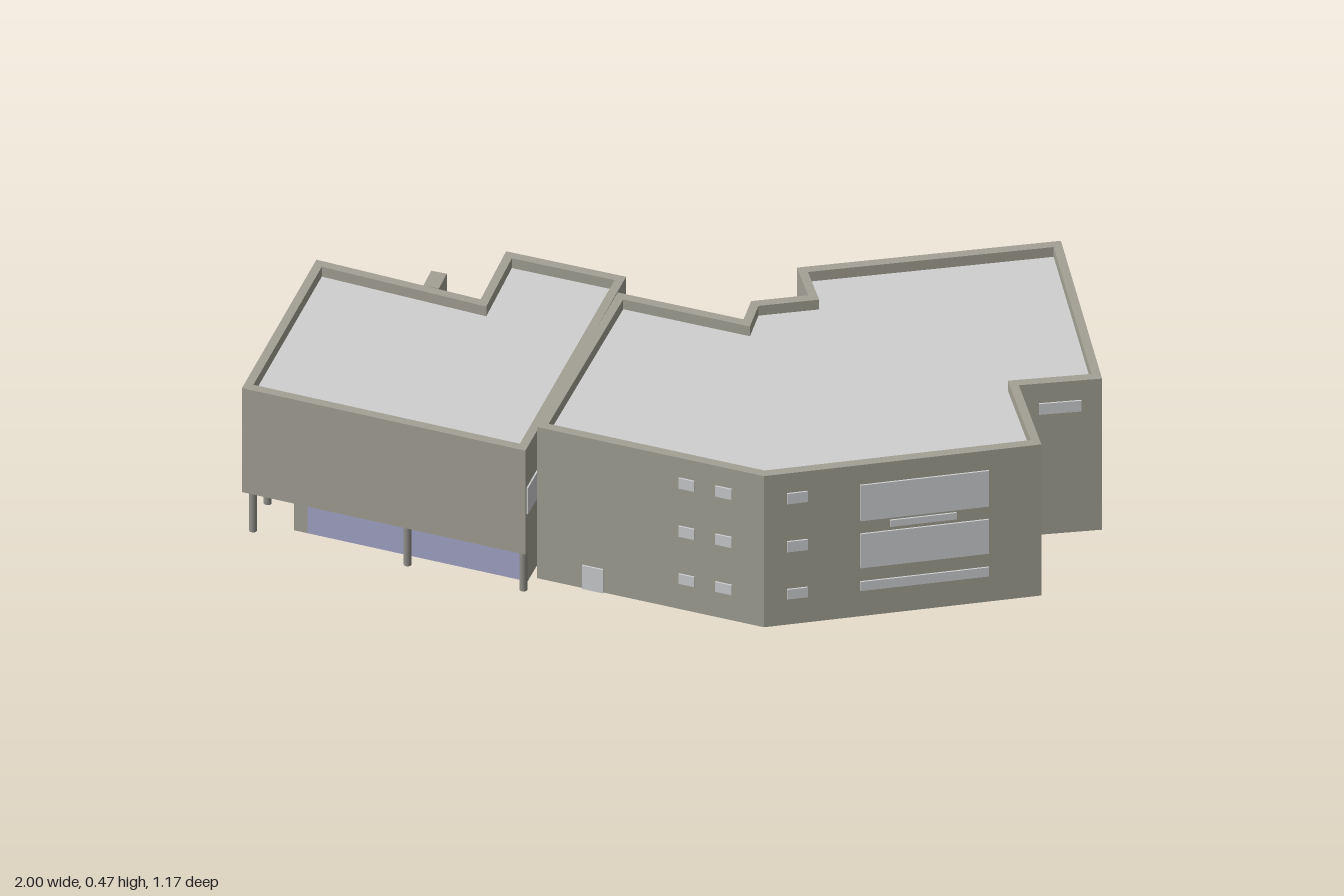
import * as THREE from 'three';

const mat = (name, color, double) => {
  const m = new THREE.MeshStandardMaterial({ color });
  m.name = name;
  if (double) m.side = THREE.DoubleSide;
  return m;
};

export function createModel() {
  const root = new THREE.Group();
  root.name = 'building';
  const wallMat = mat('wall concrete', 0xa3a194, true);
  const roofMat = mat('roof grey', 0xcfcfcf, true);
  const glassMat = mat('window glass', 0xcecfd1);
  const blueMat = mat('blue glazing', 0xa2a5c8, true);
  const columnMat = mat('column grey', 0x8f8e88);

  const add = (name, geo, material, parent = root) => {
    const m = new THREE.Mesh(geo, material);
    m.name = name;
    parent.add(m);
    return m;
  };
  const box = (name, x0, x1, y0, y1, z0, z1, material, parent) =>
    add(name, new THREE.BoxGeometry(x1 - x0, y1 - y0, z1 - z0), material, parent)
      .position.set((x0 + x1) / 2, (y0 + y1) / 2, (z0 + z1) / 2);

  // plan outlines are lists of [x, z]
  const vecs = (pts) => pts.map(([x, z]) => new THREE.Vector2(x, -z));
  const planShape = (outer, hole) => {
    const s = new THREE.Shape(vecs(outer));
    if (hole) s.holes.push(new THREE.Path(vecs(hole)));
    return s;
  };

  // mitred inward offset of an outline running front-left to front-right
  const inset = (pts, d) => pts.map((p, i) => {
    const a = pts[(i + pts.length - 1) % pts.length], b = pts[(i + 1) % pts.length];
    const normal = (u, v) => {
      const l = Math.hypot(v[0] - u[0], v[1] - u[1]);
      return [(v[1] - u[1]) / l, -(v[0] - u[0]) / l];
    };
    const n = normal(a, p), m = normal(p, b);
    const k = d / (1 + n[0] * m[0] + n[1] * m[1]);
    return [p[0] + k * (n[0] + m[0]), p[1] + k * (n[1] + m[1])];
  });

  // thin upright wall between two plan points
  const wall = (name, a, b, y0, y1, material, parent) => {
    const g = new THREE.PlaneGeometry(Math.hypot(b[0] - a[0], b[1] - a[1]), y1 - y0);
    const m = add(name, g, material, parent);
    m.position.set((a[0] + b[0]) / 2, (y0 + y1) / 2, (a[1] + b[1]) / 2);
    m.rotation.y = -Math.atan2(b[1] - a[1], b[0] - a[0]);
    return m;
  };

  // plate or ledge on a wall, t0..t1 along it, pushed outward by "out"
  const panel = (name, a, b, t0, t1, y0, y1, material = glassMat, depth = 0.008, out = 0) => {
    const l = Math.hypot(b[0] - a[0], b[1] - a[1]), t = (t0 + t1) / 2;
    const dx = (b[0] - a[0]) / l, dz = (b[1] - a[1]) / l;
    const m = add(name, new THREE.BoxGeometry(l * (t1 - t0), y1 - y0, depth), material);
    m.position.set(a[0] + dx * l * t - dz * out, (y0 + y1) / 2, a[1] + dz * l * t + dx * out);
    m.rotation.y = -Math.atan2(dz, dx);
  };

  // hollow shell, parapet ring and sunken roof
  const block = (name, pts, bottoms, top) => {
    const g = new THREE.Group();
    g.name = name;
    root.add(g);
    const roofY = top - 0.03, inner = inset(pts, 0.022);
    pts.forEach((p, i) =>
      wall(name + 'Wall', p, pts[(i + 1) % pts.length], bottoms[i] ?? 0, roofY, wallMat, g));
    const ring = new THREE.ExtrudeGeometry(planShape(pts, inner), { depth: 0.03, bevelEnabled: false });
    add(name + 'Parapet', ring.rotateX(-Math.PI / 2), wallMat, g).position.y = roofY;
    const roof = new THREE.ShapeGeometry(planShape(inner));
    add(name + 'Roof', roof.rotateX(-Math.PI / 2), roofMat, g).position.y = roofY;
  };

  // main angled block
  const E = [[-0.257, 0.515], [0.33, 0.532], [0.935, 0.203], [0.81, -0.005], [0.995, -0.093],
    [0.73, -0.587], [0.15, -0.287], [0.21, -0.19], [0.085, -0.125], [0.09, -0.05], [-0.235, -0.058]];
  block('mainBlock', E, [], 0.465);

  // raised west block, with a rear wing standing on the ground
  const W = [[-1, 0.557], [-0.265, 0.583], [-0.245, -0.155], [-0.555, -0.162], [-0.555, 0.04], [-0.985, 0.012]];
  block('westBlock', W, [0.12, 0.12, 0, 0, 0.12, 0.12], 0.44);

  // recessed ground floor of the west block and the soffit around it
  const G = [[-0.88, 0.515], [-0.275, 0.535], [-0.255, -0.13], [-0.545, -0.135], [-0.545, 0.06], [-0.87, 0.04]];
  const soffit = new THREE.ShapeGeometry(planShape(W, G));
  add('soffit', soffit.rotateX(-Math.PI / 2), wallMat).position.y = 0.12;
  wall('groundGlazingFront', [-0.845, 0.516], G[1], 0, 0.12, blueMat);
  wall('groundPier', G[0], [-0.845, 0.516], 0, 0.12, wallMat);
  wall('groundWestWall', G[5], G[0], 0, 0.12, wallMat);
  wall('groundEastWall', G[1], [-0.258, 0], 0, 0.12, wallMat);
  wall('groundGlazingBack', G[4], G[5], 0, 0.12, blueMat);
  wall('wingSideWall', W[3], W[4], 0, 0.12, wallMat);

  // columns
  [[-0.975, 0.545], [-0.575, 0.558], [-0.275, 0.567], [-0.975, 0.43], [-0.972, 0.13], [-0.97, 0.03]]
    .forEach(([x, z]) => {
      add('column', new THREE.CylinderGeometry(0.01, 0.01, 0.12, 12), columnMat).position.set(x, 0.06, z);
    });

  // front and south-east windows
  const rows = [[0.08, 0.11], [0.225, 0.257], [0.373, 0.405]];
  rows.forEach(([y0, y1]) => {
    panel('frontWindow', E[0], E[1], 0.625, 0.695, y0, y1);
    panel('frontWindow', E[0], E[1], 0.787, 0.86, y0, y1);
    panel('cornerWindow', E[1], E[2], 0.083, 0.157, y0, y1);
  });
  panel('frontDoor', E[0], E[1], 0.2, 0.293, 0, 0.072);
  [[0.295, 0.405], [0.15, 0.255], [0.08, 0.108]].forEach(([y0, y1]) =>
    panel('largeWindow', E[1], E[2], 0.347, 0.81, y0, y1));
  panel('slimWindow', E[1], E[2], 0.455, 0.694, 0.267, 0.287);

  // east windows and door
  panel('eastDoor', E[2], E[3], 0.74, 0.97, 0, 0.075);
  panel('eastWindow', E[3], E[4], 0.24, 0.75, 0.372, 0.405);
  panel('gapWindow', W[1], W[2], 0.01, 0.12, 0.24, 0.32);

  // rear windows of the angled wing, with projecting ledges
  for (let i = 0; i < 7; i++) {
    const t = 0.1 + i * 0.131;
    panel('rearSmallWindow', E[5], E[6], t - 0.025, t + 0.025, 0.352, 0.388);
  }
  const ribbon = (t0, t1, y0, y1) => {
    panel('ribbonWindow', E[5], E[6], t0, t1, y0, y1);
    // outward is the negative side of the wall direction
    panel('ribbonHood', E[5], E[6], t0, t1, y1, y1 + 0.008, wallMat, 0.024, -0.012);
    panel('ribbonSill', E[5], E[6], t0, t1, y0 - 0.01, y0, wallMat, 0.024, -0.012);
  };
  ribbon(0.135, 1.0, 0.185, 0.238);
  ribbon(0.3, 0.76, 0.03, 0.09);

  // rear hall glazing, low terrace and wing windows
  panel('hallWindow', E[9], E[10], 0.09, 0.87, 0.295, 0.385);
  box('terrace', -0.245, 0.08, 0, 0.08, -0.148, -0.055, wallMat);
  for (const y of [0.39, 0.25, 0.11])
    for (const t of [0.27, 0.53, 0.8])
      panel('wingWindow', W[2], W[3], t - 0.06, t + 0.06, y - 0.02, y + 0.02);

  // stair flights: stepped side profile extruded in z
  const flight = (name, x0, x1, y0, y1, steps, tail, z0, z1) => {
    const s = new THREE.Shape();
    s.moveTo(x0, y0);
    const dx = (x1 - x0) / steps, dy = (y1 - y0) / steps;
    for (let i = 0; i < steps; i++) {
      s.lineTo(x0 + i * dx, y0 + (i + 1) * dy);
      s.lineTo(x0 + (i + 1) * dx, y0 + (i + 1) * dy);
    }
    tail.forEach(([x, y]) => s.lineTo(x, y));
    add(name, new THREE.ExtrudeGeometry(s, { depth: z1 - z0, bevelEnabled: false }), wallMat).position.z = z0;
  };
  flight('lowerStair', -0.965, -0.765, 0, 0.16, 10, [[-0.556, 0.16], [-0.556, 0]], -0.118, -0.045);
  flight('upperStair', -0.895, -0.7, 0.16, 0.3, 8, [[-0.7, 0.25], [-0.85, 0.13], [-0.895, 0.13]], -0.045, 0.012);
  box('landingRail', -0.765, -0.556, 0.16, 0.19, -0.118, -0.11, wallMat);
  [[-0.63, -0.59, 0.03, 0.08], [-0.78, -0.72, 0.05, 0.1], [-0.87, -0.81, 0.02, 0.055]]
    .forEach(([x0, x1, y0, y1]) => box('stairWindow', x0, x1, y0, y1, -0.121, -0.116, glassMat));

  // chimney shaft beside the stair
  box('shaft', -0.705, -0.665, 0.1, 0.44, -0.032, 0.03, wallMat);
  return root;
}
